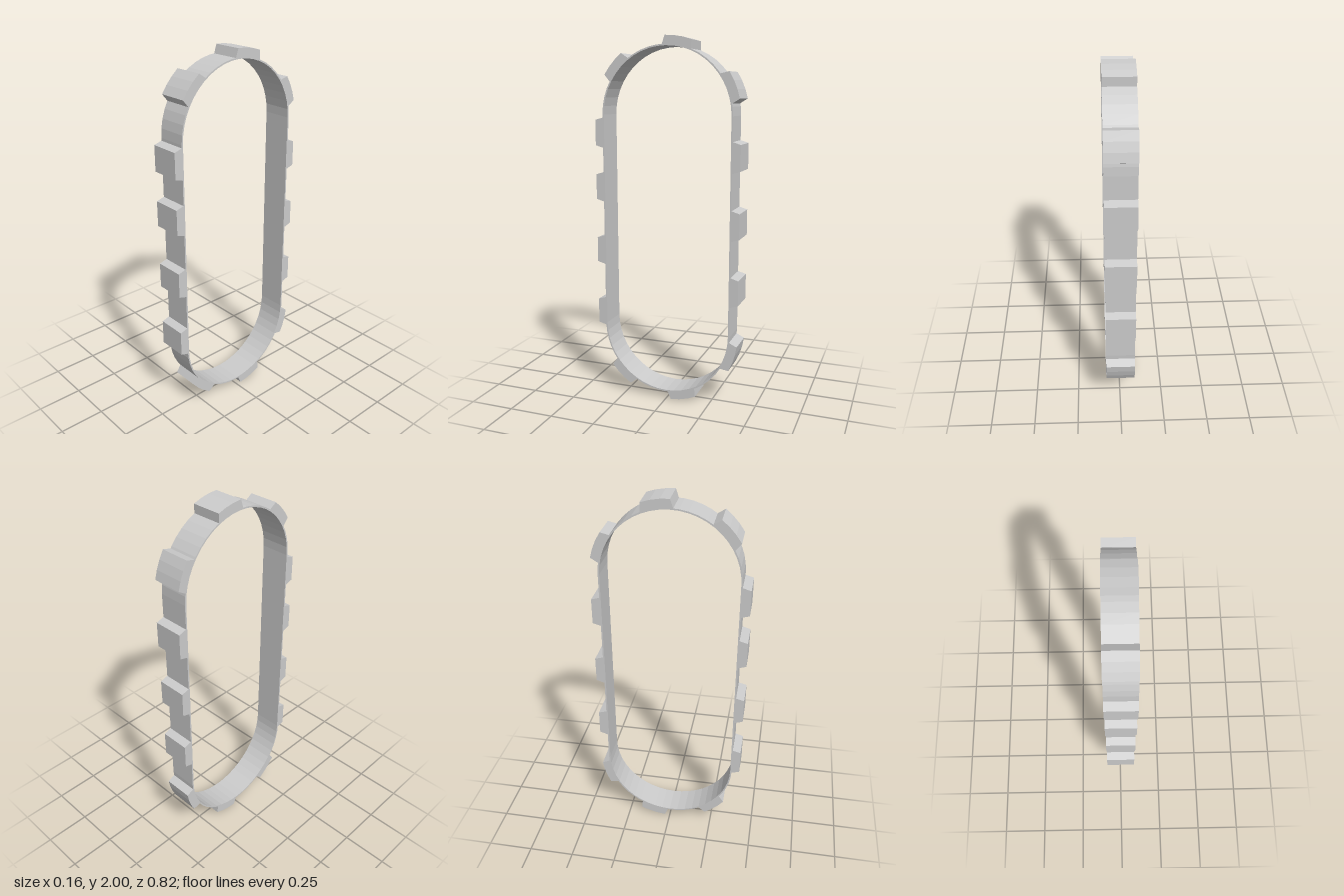
import * as THREE from 'three';

const WIDTH = 0.162;                    // across x
const R_IN = 0.358, R_OUT = 0.366, R_LUG = 0.41;
const Y_TOP = 1.59, Y_BOTTOM = 0.41;    // centres of the two end arcs
const material = new THREE.MeshStandardMaterial({ color: 0xcccccc, flatShading: true });

// Points (z, y) along an arc, angles in degrees from +z towards +y
function arc(cy, r, from, to, steps) {
  return Array.from({ length: steps + 1 }, (_, i) => {
    const a = THREE.MathUtils.degToRad(from + (to - from) * i / steps);
    return new THREE.Vector2(r * Math.cos(a), cy + r * Math.sin(a));
  });
}

// Closed racetrack outline
function stadium(r) {
  return [...arc(Y_TOP, r, 0, 180, 24), ...arc(Y_BOTTOM, r, 180, 360, 24)];
}

// Extrude a (z, y) profile across the width
function extrude(name, points, hole) {
  const shape = new THREE.Shape(points);
  if (hole) shape.holes.push(new THREE.Path(hole));
  const geometry = new THREE.ExtrudeGeometry(shape, { depth: WIDTH, bevelEnabled: false });
  geometry.translate(0, 0, -WIDTH / 2).rotateY(-Math.PI / 2);
  const mesh = new THREE.Mesh(geometry, material);
  mesh.name = name;
  return mesh;
}

export function createModel() {
  const group = new THREE.Group();
  group.name = 'trackBelt';

  // Thin band
  group.add(extrude('band', stadium(R_OUT), stadium(R_IN)));

  // Tapered lugs on the straight runs
  const straightLug = (side, y) => {
    const p = [[R_OUT - 0.003, -0.083], [R_LUG, -0.069], [R_LUG, 0.069], [R_OUT - 0.003, 0.083]];
    group.add(extrude('straightLug', p.map(([z, dy]) => new THREE.Vector2(side * z, y + dy))));
  };
  [1.493, 1.195, 0.838, 0.478].forEach(y => straightLug(1, y));
  [1.378, 1.02, 0.66].forEach(y => straightLug(-1, y));

  // Curved lugs around the end arcs
  const curvedLug = (cy, angle) => group.add(extrude('curvedLug', [
    ...arc(cy, R_LUG, angle - 10.4, angle + 10.4, 3),
    ...arc(cy, R_OUT - 0.003, angle + 13, angle - 13, 4),
  ]));
  [41.7, 99.7, 157.2].forEach(a => curvedLug(Y_TOP, a));
  [-47.8, -104.6, -162.6].forEach(a => curvedLug(Y_BOTTOM, a));

  return group;
}
